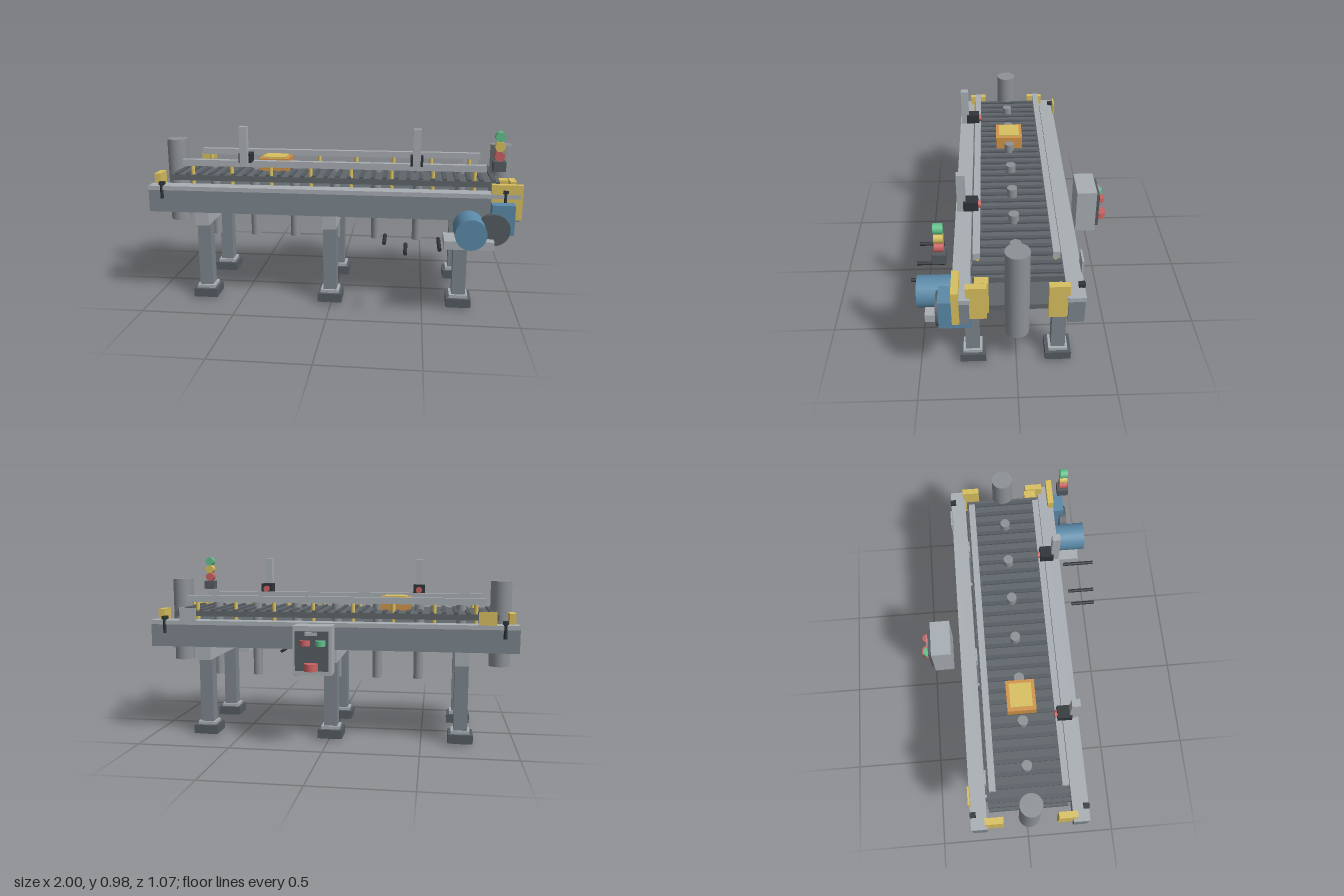
import * as THREE from 'three';

const mat = (color) => new THREE.MeshStandardMaterial({ color });
const LIGHT = mat(0xa9afb4), STEEL = mat(0x7d868d), ROLL = mat(0x8d9296), DARK = mat(0x555c62),
  BELT = mat(0x60666a), BLACK = mat(0x303438), YELLOW = mat(0xd8c060), BLUE = mat(0x5b8aa8),
  ORANGE = mat(0xd0944a), RED = mat(0xcc6262), GREEN = mat(0x62c08c);

export function createModel() {
  const root = new THREE.Group();
  root.name = 'conveyor';
  let parent = root;

  const group = (name) => {
    parent = new THREE.Group();
    parent.name = name;
    root.add(parent);
  };
  const add = (name, geometry, material, x, y, z) => {
    const m = new THREE.Mesh(geometry, material);
    m.name = name;
    m.position.set(x, y, z);
    parent.add(m);
    return m;
  };
  // box given by its limits on each axis
  const box = (name, material, [x0, x1], [y0, y1], [z0, z1]) =>
    add(name, new THREE.BoxGeometry(x1 - x0, y1 - y0, z1 - z0), material,
      (x0 + x1) / 2, (y0 + y1) / 2, (z0 + z1) / 2);
  const around = (c, size) => [c - size / 2, c + size / 2];
  const cylY = (name, material, r, h, x, y, z) =>
    add(name, new THREE.CylinderGeometry(r, r, h, 28), material, x, y, z);
  const cylZ = (name, material, r, h, x, y, z) => {
    const m = cylY(name, material, r, h, x, y, z);
    m.rotation.x = Math.PI / 2;
    return m;
  };

  // side beams with wider caps
  group('frame');
  for (const s of [-1, 1]) {
    box('sideBeam', STEEL, [-1, 0.99], [0.505, 0.627], around(s * 0.262, 0.075));
    box('beamCap', LIGHT, [-1, 0.99], [0.627, 0.65], around(s * 0.262, 0.084));
  }

  // legs, feet and cross members
  group('legs');
  for (const x of [-0.71, -0.007, 0.697]) {
    box('crossMember', LIGHT, around(x, 0.075), [0.43, 0.505], around(0.004, 0.575));
    for (const s of [-1, 1]) {
      const z = 0.004 + s * 0.222;
      box('leg', STEEL, around(x, 0.073), [0.07, 0.432], around(z, 0.073));
      box('footCollar', LIGHT, around(x, 0.1), [0.058, 0.075], around(z, 0.1));
      box('foot', DARK, around(x, 0.133), [0.01, 0.058], around(z, 0.135));
      box('footPad', DARK, around(x, 0.073), [0, 0.01], around(z, 0.073));
    }
  }

  // belt runs with raised slats
  group('belt');
  box('upperBelt', BELT, [-0.9, 0.89], [0.665, 0.696], [-0.21, 0.212]);
  box('lowerBelt', BELT, [-0.9, 0.89], [0.497, 0.525], [-0.21, 0.212]);
  for (let i = 0; i < 28; i++) {
    box('slat', DARK, around(-0.868 + i * 0.064, 0.022), [0.69, 0.705], [-0.208, 0.21]);
  }

  // upright drums and idlers
  group('rollers');
  for (const x of [-0.925, 0.913]) cylY('endDrum', ROLL, 0.058, 0.475, x, 0.627, 0.004);
  for (let i = 0; i < 7; i++) cylY('idler', ROLL, 0.027, 0.44, -0.71 + i * 0.235, 0.525, 0.004);

  // guide rails on posts
  group('guideRails');
  for (const s of [-1, 1]) {
    const z = 0.004 + s * 0.184;
    box('guideRail', LIGHT, [-0.83, 0.82], [0.745, 0.78], around(z, 0.034));
    for (let i = 0; i < 8; i++) cylY('guidePost', YELLOW, 0.011, 0.12, -0.78 + i * 0.22, 0.69, z);
  }

  // carton
  group('carton');
  box('cartonBody', ORANGE, [-0.43, -0.262], [0.7, 0.77], [-0.072, 0.08]);
  box('cartonLid', YELLOW, [-0.41, -0.282], [0.768, 0.778], [-0.055, 0.062]);

  // end guards
  group('guards');
  for (const x of [-0.967, 0.957])
    for (const s of [-1, 1])
      box('cornerGuard', YELLOW, around(x, 0.034), [0.523, 0.705], around(0.004 + s * 0.188, 0.096));
  box('driveGuard', YELLOW, [0.84, 1], [0.515, 0.7], [0.27, 0.304]);
  box('shaftGuard', YELLOW, [0.89, 0.936], [0.523, 0.702], [0.135, 0.2]);

  // stops and plates on the beams
  group('beamFittings');
  for (const x of [-0.925, 0.912])
    for (const s of [-1, 1]) {
      cylY('pin', BLACK, 0.01, 0.09, x, 0.625, s * 0.297);
      box('pinHead', BLACK, around(x, 0.028), [0.655, 0.672], around(s * 0.29, 0.03));
    }
  box('leftPlate', YELLOW, [-0.88, -0.788], [0.65, 0.72], [-0.309, -0.299]);
  box('rightPlate', LIGHT, [0.73, 0.822], [0.65, 0.72], [-0.309, -0.299]);

  // sensors
  group('sensors');
  for (const x of [-0.468, 0.452]) {
    box('sensorBracket', LIGHT, around(x, 0.04), [0.77, 0.977], [0.242, 0.285]);
    box('sensorBody', BLACK, around(x, 0.067), [0.777, 0.828], [0.18, 0.254]);
    cylZ('sensorLens', RED, 0.018, 0.014, x, 0.798, 0.174);
  }

  // signal lamps
  group('signalTower');
  box('towerBase', DARK, [0.832, 0.894], [0.785, 0.835], [0.318, 0.38]);
  [RED, YELLOW, GREEN].forEach((m, i) => cylZ('lamp', m, 0.025, 0.042, 0.862, 0.86 + i * 0.049, 0.349));

  // drive
  group('drive');
  cylZ('motor', BLUE, 0.08, 0.184, 0.73, 0.48, 0.392);
  cylZ('pulley', DARK, 0.083, 0.04, 0.853, 0.48, 0.366);
  box('gearbox', BLUE, [0.84, 0.957], [0.45, 0.608], [0.217, 0.37]);
  box('motorMount', LIGHT, [0.6, 0.852], [0.39, 0.434], [0.287, 0.445]);
  for (const [x, y, z, h] of [[0.298, 0.433, 0.44, 0.135], [0.405, 0.385, 0.443, 0.155], [0.574, 0.416, 0.442, 0.183]])
    cylZ('rod', BLACK, 0.01, h, x, y, z);

  // control cabinet on the back
  group('controlCabinet');
  box('cabinet', LIGHT, [-0.045, 0.157], [0.395, 0.65], [-0.467, -0.357]);
  box('panel', DARK, [-0.03, 0.142], [0.42, 0.624], [-0.486, -0.467]);
  box('display', LIGHT, [0.025, 0.09], [0.603, 0.622], [-0.491, -0.486]);
  cylY('redButton', RED, 0.026, 0.028, 0.088, 0.566, -0.492);
  cylY('greenButton', GREEN, 0.026, 0.028, 0.008, 0.566, -0.492);
  cylY('stopButton', RED, 0.037, 0.038, 0.055, 0.444, -0.501);

  return root;
}
